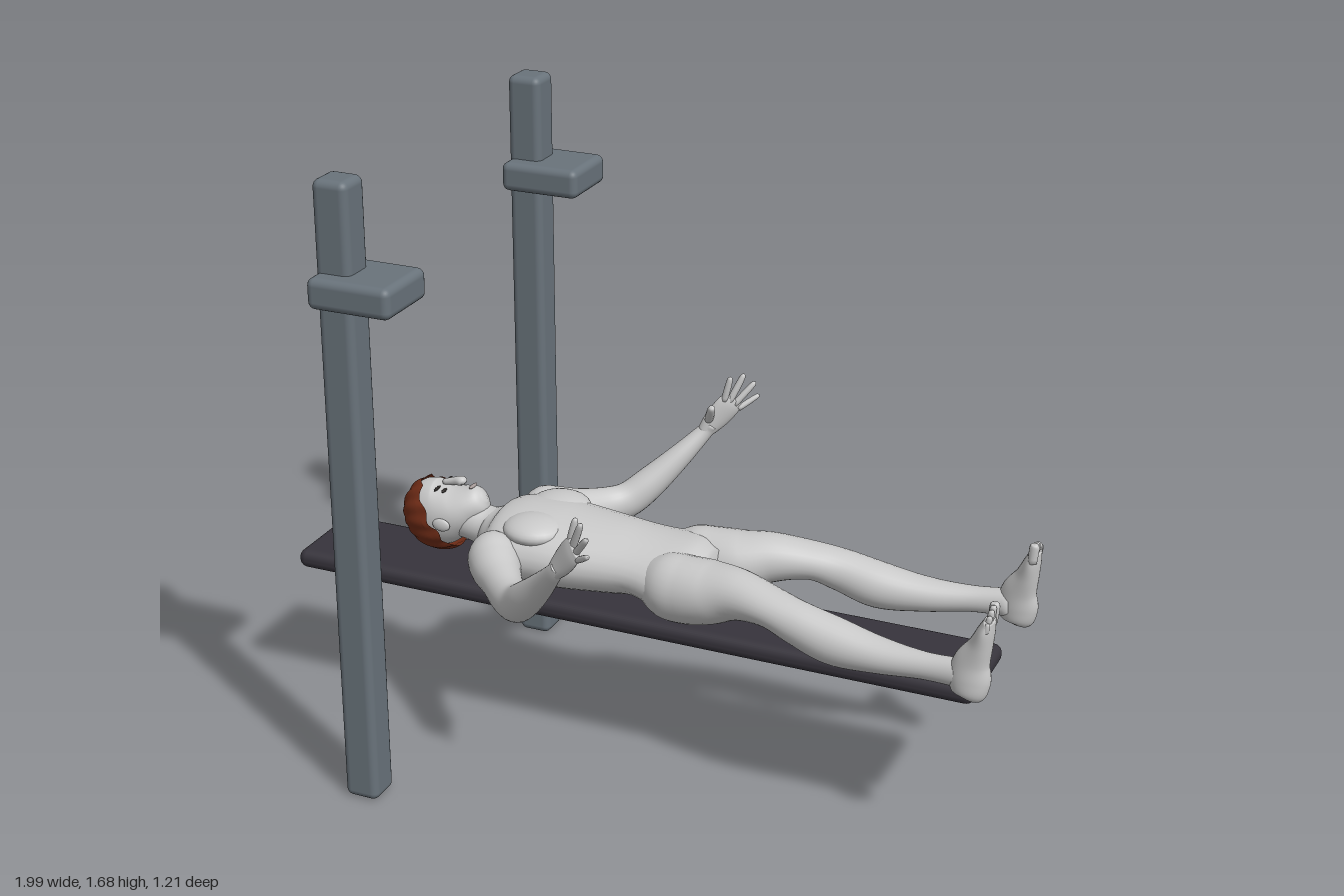
import * as THREE from 'three';
import { RoundedBoxGeometry } from 'three/addons/geometries/RoundedBoxGeometry.js';

const V = (x, y, z) => new THREE.Vector3(x, y, z);

// Smooth tube through sections [x, y, z, halfWidth, halfHeight]; up fixes the height direction
function loft(secs, up = V(0, 1, 0), rings = 40, sides = 28) {
  const path = new THREE.CatmullRomCurve3(secs.map(s => V(s[0], s[1], s[2])), false, 'catmullrom');
  const size = new THREE.CatmullRomCurve3(secs.map(s => V(s[3], s[4], 0)), false, 'catmullrom');
  const pos = [], index = [];
  for (let i = 0; i <= rings; i++) {
    const t = i / rings, p = path.getPoint(t), r = size.getPoint(t), T = path.getTangent(t);
    const S = up.clone().cross(T).normalize(), N = T.clone().cross(S);
    for (let j = 0; j < sides; j++) {
      const a = j / sides * Math.PI * 2;
      const q = p.clone().addScaledVector(S, r.x * Math.cos(a)).addScaledVector(N, r.y * Math.sin(a));
      pos.push(q.x, q.y, q.z);
      if (i < rings) {
        const k = i * sides, A = k + j, B = k + (j + 1) % sides;
        index.push(A, B, B + sides, A, B + sides, A + sides);
      }
    }
  }
  const first = path.getPoint(0), last = path.getPoint(1), c = pos.length / 3, e = rings * sides;
  pos.push(first.x, first.y, first.z, last.x, last.y, last.z);
  for (let j = 0; j < sides; j++) {
    const n = (j + 1) % sides;
    index.push(c, n, j, c + 1, e + j, e + n);
  }
  const g = new THREE.BufferGeometry();
  g.setAttribute('position', new THREE.Float32BufferAttribute(pos, 3));
  g.setIndex(index);
  g.computeVertexNormals();
  return g;
}

const ball = (x, y, z, rx, ry, rz) =>
  new THREE.SphereGeometry(1, 24, 16).scale(rx, ry, rz).translate(x, y, z);

const box = (x0, x1, y0, y1, z0, z1, r) =>
  new RoundedBoxGeometry(x1 - x0, y1 - y0, z1 - z0, 3, r)
    .translate((x0 + x1) / 2, (y0 + y1) / 2, (z0 + z1) / 2);

export function createModel() {
  const model = new THREE.Group();
  model.name = 'figureOnBench';
  const mat = (name, color, side = THREE.FrontSide) => {
    const m = new THREE.MeshStandardMaterial({ color, side });
    m.name = name;
    return m;
  };
  const skin = mat('paleSkin', 0xc9c9c9);
  const hairMat = mat('redHair', 0x742e18, THREE.DoubleSide);
  const padMat = mat('darkPad', 0x37343c);
  const steel = mat('greySteel', 0x69737b);
  const dark = mat('darkFeatures', 0x2a2624);
  const lipMat = mat('lips', 0xa59a98);
  const add = (name, geo, m = skin, parent = model) => {
    const mesh = new THREE.Mesh(geo, m);
    mesh.name = name;
    parent.add(mesh);
    return mesh;
  };

  // Bench pad and the two posts with their rest brackets
  add('benchPad', box(-1, 0.93, 0.397, 0.45, -0.138, 0.135, 0.024), padMat);
  for (const s of [1, -1]) {
    const side = s > 0 ? 'left' : 'right';
    add(side + 'Post', box(-0.625, -0.53, 0, 1.68, s * 0.51 - 0.048, s * 0.51 + 0.048, 0.02), steel);
    add(side + 'Bracket', box(-0.625, -0.4, 1.37, 1.45, s * 0.51 - 0.097, s * 0.51 + 0.097, 0.02), steel);
  }

  // Torso, lying face up with the head toward -x
  add('torso', loft([
    [-0.48, 0.57, 0, 0.05, 0.05], [-0.43, 0.558, 0, 0.13, 0.08],
    [-0.37, 0.561, 0, 0.172, 0.098], [-0.28, 0.562, 0, 0.172, 0.102],
    [-0.2, 0.56, 0, 0.166, 0.099], [-0.08, 0.56, 0, 0.148, 0.09],
    [0, 0.56, 0, 0.145, 0.081], [0.08, 0.55, 0, 0.16, 0.088],
    [0.14, 0.55, 0, 0.15, 0.084], [0.19, 0.555, 0, 0.09, 0.06],
  ]));
  add('neck', loft([
    [-0.6, 0.575, 0, 0.05, 0.05], [-0.53, 0.58, 0, 0.054, 0.055],
    [-0.47, 0.567, 0, 0.06, 0.056], [-0.4, 0.558, 0, 0.1, 0.07],
  ]));

  // Head with face
  const head = new THREE.Group();
  head.name = 'head';
  model.add(head);
  add('skull', loft([
    [-0.712, 0.585, 0, 0.01, 0.012], [-0.695, 0.585, 0, 0.045, 0.06],
    [-0.66, 0.585, 0, 0.071, 0.088], [-0.61, 0.587, 0, 0.078, 0.092],
    [-0.56, 0.605, 0, 0.073, 0.071], [-0.52, 0.628, 0, 0.056, 0.05],
    [-0.492, 0.645, 0, 0.034, 0.037], [-0.48, 0.652, 0, 0.008, 0.012],
  ]), skin, head);
  add('nose', loft([
    [-0.605, 0.675, 0, 0.008, 0.008], [-0.575, 0.682, 0, 0.01, 0.011],
    [-0.55, 0.687, 0, 0.016, 0.013], [-0.541, 0.681, 0, 0.006, 0.007],
  ], V(0, 1, 0), 12, 14), skin, head);
  add('mouth', ball(-0.517, 0.678, 0, 0.006, 0.004, 0.021), lipMat, head);
  for (const s of [1, -1]) {
    add('ear', ball(-0.575, 0.585, s * 0.079, 0.026, 0.018, 0.009), skin, head);
    add('eye', ball(-0.588, 0.665, s * 0.032, 0.005, 0.0045, 0.013), dark, head).rotation.x = 0;
    add('eyebrow', ball(-0.608, 0.668, s * 0.034, 0.0035, 0.0045, 0.018), dark, head);
  }

  // Hair cap, ridged into locks and tilted toward the nape
  const hair = new THREE.SphereGeometry(1, 96, 24, 0, Math.PI * 2, 0, 1.68);
  const hp = hair.attributes.position;
  for (let i = 0; i < hp.count; i++) {
    const p = V().fromBufferAttribute(hp, i);
    const a = Math.atan2(p.z, p.x), d = Math.hypot(p.x, p.z);
    p.multiplyScalar(1 + 0.022 * d * Math.sin(13 * a + 5 * p.y));
    if (p.y < 0.1) p.y += 0.06 * Math.sin(9 * a);
    hp.setXYZ(i, p.x, p.y, p.z);
  }
  hair.rotateZ(2.1).scale(0.106, 0.104, 0.087).translate(-0.617, 0.584, 0);
  hair.computeVertexNormals();
  add('hair', hair, hairMat, head);

  // Limbs, mirrored across z
  for (const s of [1, -1]) {
    const side = s > 0 ? 'left' : 'right';
    const flip = secs => secs.map(([x, y, z, a, b]) => [x, y, z * s, a, b]);
    add(side + 'Pectoral', ball(-0.295, 0.628, s * 0.078, 0.085, 0.037, 0.08));

    // Leg: thigh, knee, calf, ankle
    add(side + 'Leg', loft(flip([
      [0.03, 0.55, 0.075, 0.05, 0.06], [0.09, 0.547, 0.088, 0.082, 0.087],
      [0.15, 0.547, 0.094, 0.087, 0.09], [0.22, 0.557, 0.1, 0.086, 0.083],
      [0.3, 0.575, 0.119, 0.07, 0.066], [0.4, 0.573, 0.147, 0.061, 0.05],
      [0.48, 0.553, 0.163, 0.058, 0.056], [0.58, 0.527, 0.17, 0.061, 0.061],
      [0.7, 0.52, 0.182, 0.049, 0.046], [0.82, 0.525, 0.196, 0.033, 0.035],
      [0.92, 0.53, 0.205, 0.031, 0.038],
    ]), V(0, 1, 0), 60));

    // Foot, pointing up, with five toes
    add(side + 'Foot', loft(flip([
      [0.94, 0.47, 0.212, 0.012, 0.015], [0.943, 0.485, 0.212, 0.03, 0.042],
      [0.94, 0.52, 0.21, 0.034, 0.053], [0.942, 0.565, 0.207, 0.034, 0.047],
      [0.96, 0.615, 0.205, 0.038, 0.031], [0.972, 0.66, 0.204, 0.042, 0.021],
      [0.98, 0.69, 0.204, 0.036, 0.012],
    ]), V(1, 0, 0)));
    for (let i = 0; i < 5; i++) {
      const z = 0.174 + i * 0.0155, r = i ? 0.0085 - i * 0.0004 : 0.012, top = 0.722 - i * i * 0.0018;
      add(side + 'Toe', loft(flip([
        [0.978, 0.668, z, r, r], [0.981, top - 0.014, z, r, r * 1.1],
        [0.983, top - 0.003, z, r * 0.8, r * 0.8], [0.983, top, z, 0.001, 0.001],
      ]), V(1, 0, 0), 10, 12));
    }

    // Arm: shoulder, elbow, raised forearm
    add(side + 'Arm', loft(flip([
      [-0.41, 0.57, 0.1, 0.03, 0.04], [-0.385, 0.565, 0.145, 0.065, 0.07],
      [-0.355, 0.555, 0.19, 0.067, 0.067], [-0.31, 0.547, 0.245, 0.055, 0.055],
      [-0.26, 0.54, 0.305, 0.046, 0.052], [-0.215, 0.55, 0.345, 0.044, 0.05],
      [-0.165, 0.595, 0.385, 0.043, 0.045], [-0.1, 0.665, 0.432, 0.032, 0.034],
      [-0.045, 0.73, 0.476, 0.022, 0.023], [-0.025, 0.755, 0.485, 0.022, 0.018],
    ]), V(0, 1, 0), 60));

    // Open hand: palm, thumb and spread fingers
    const up = V(0.5, -0.07, -0.67 * s);
    add(side + 'Palm', loft(flip([
      [-0.045, 0.73, 0.476, 0.021, 0.02], [-0.015, 0.77, 0.488, 0.034, 0.017],
      [0.015, 0.81, 0.502, 0.037, 0.014], [0.03, 0.83, 0.511, 0.03, 0.008],
    ]), up, 16, 20));
    const fingers = [
      ['Thumb', V(-0.03, 0.77, 0.474), V(-0.004, 0.828, 0.434), 0.012],
      ['IndexFinger', V(0.008, 0.828, 0.492), V(0.026, 0.9, 0.494), 0.0095],
      ['MiddleFinger', V(0.02, 0.823, 0.502), V(0.054, 0.903, 0.524), 0.0095],
      ['RingFinger', V(0.031, 0.813, 0.511), V(0.079, 0.876, 0.545), 0.009],
      ['LittleFinger', V(0.04, 0.8, 0.517), V(0.087, 0.835, 0.556), 0.008],
    ];
    for (const [name, a, b, r] of fingers) {
      const secs = [[0, 1], [0.5, 1], [0.9, 0.8], [1, 0.1]].map(([t, k]) => {
        const p = a.clone().lerp(b, t);
        return [p.x, p.y, p.z, r * k, r * k];
      });
      add(side + name, loft(flip(secs), up, 12, 12));
    }
  }
  return model;
}
